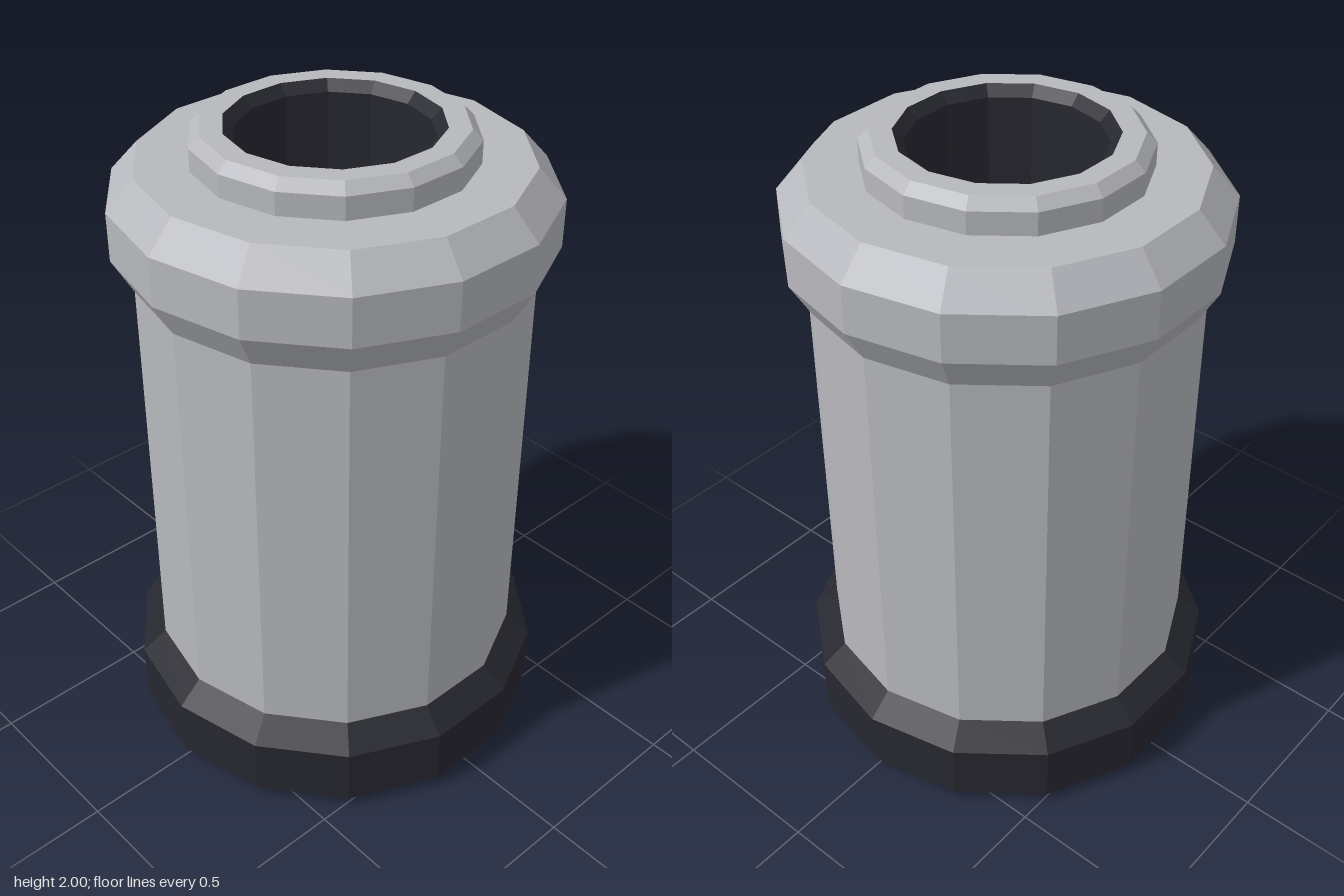
import * as THREE from 'three';

const SIDES = 14;

// Faceted ring turned from [radius, height] points, with a vertex on the x axis
function turned(name, profile, material) {
  const points = profile.map(([r, y]) => new THREE.Vector2(r, y));
  const indexed = new THREE.LatheGeometry(points, SIDES, Math.PI / 2);
  const geometry = indexed.toNonIndexed();
  geometry.computeVertexNormals(); // one normal per facet
  const mesh = new THREE.Mesh(geometry, material);
  mesh.name = name;
  return mesh;
}

export function createModel() {
  const metal = new THREE.MeshStandardMaterial({ color: 0xb7b8bd });
  metal.name = 'grey metal';
  const dark = new THREE.MeshStandardMaterial({ color: 0x272730 });
  dark.name = 'dark rubber';

  const group = new THREE.Group();
  group.name = 'canister';
  group.add(
    // shallow dished hollow under the foot
    turned('underside', [[0, 0.07], [0.585, 0.07], [0.62, 0]], dark),
    // bevelled foot
    turned('base', [[0.62, 0], [0.656, 0.035], [0.656, 0.222], [0.58, 0.29]], dark),
    // straight barrel
    turned('body', [[0.58, 0.29], [0.58, 1.565]], metal),
    // flared shoulder and its flat top
    turned('shoulder', [[0.58, 1.565], [0.64, 1.67], [0.64, 1.815], [0.56, 1.903], [0.405, 1.903]], metal),
    // raised neck ring
    turned('neck', [[0.405, 1.903], [0.405, 1.97], [0.375, 2], [0.31, 2]], metal),
    // dark bore: bevelled lip, inner wall reaching down to the foot, floor
    turned('bore', [[0.31, 2], [0.28, 1.97], [0.28, 0.1], [0, 0.1]], dark),
  );
  return group;
}
